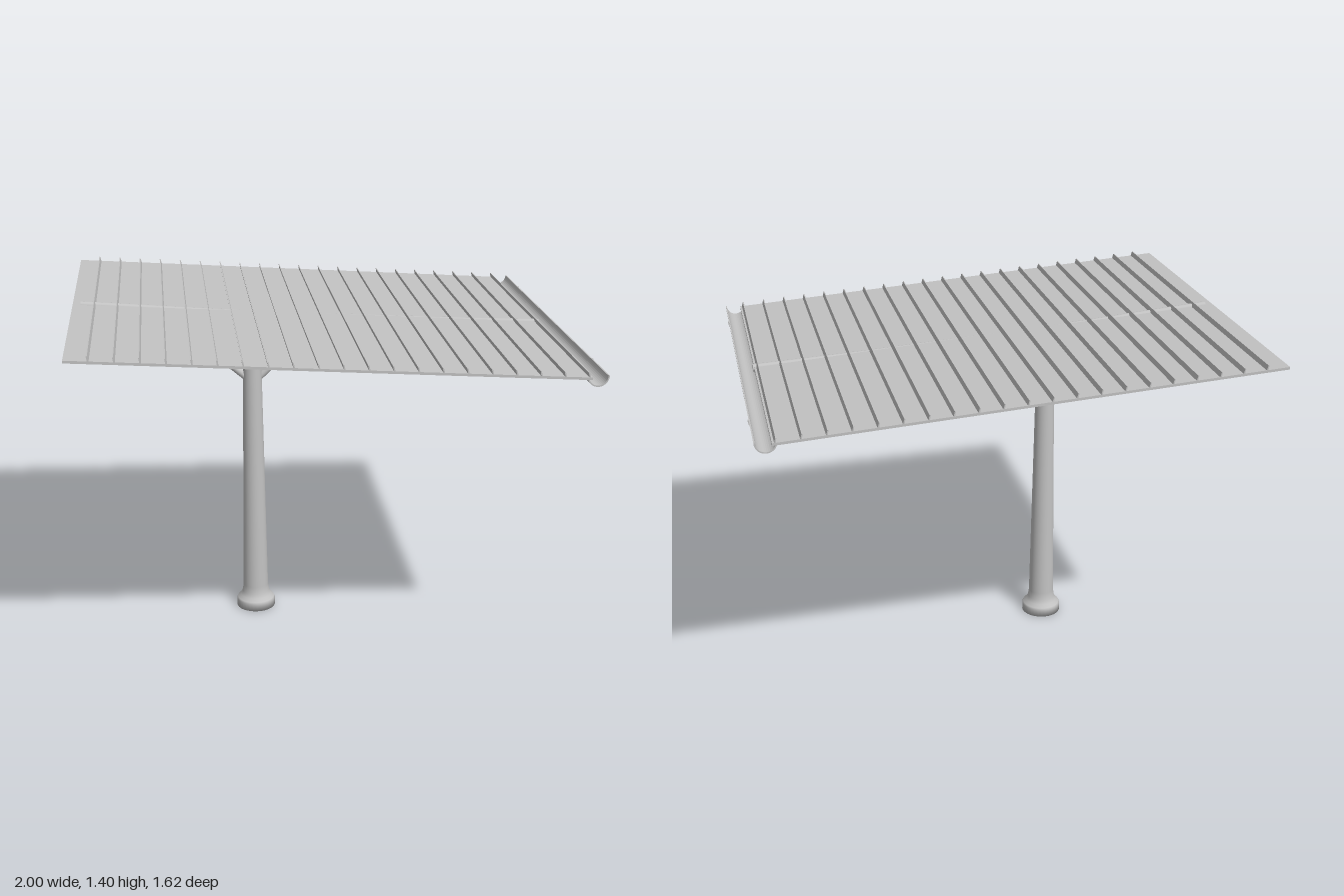
import * as THREE from 'three';

export function createModel() {
  const model = new THREE.Group();
  const steel = new THREE.MeshStandardMaterial({ color: 0xc2c2c2 });
  steel.name = 'galvanised grey';
  const sheet = new THREE.MeshStandardMaterial({ color: 0xc2c2c2, side: THREE.DoubleSide });
  sheet.name = 'sheet grey';

  const columnX = -0.277, depth = 1.62;
  const roofY = x => 1.385 - (x + 1) * 0.0674;

  function add(name, geometry, parent = model, material = steel) {
    const mesh = new THREE.Mesh(geometry, material);
    mesh.name = name;
    parent.add(mesh);
    return mesh;
  }

  // Straight round bars joined by ball elbows, in the plane z = 0
  function pipe(name, points, radius) {
    const group = new THREE.Group();
    group.name = name;
    model.add(group);
    const p = points.map(([x, y]) => new THREE.Vector3(x, y, 0));
    for (let i = 1; i < p.length; i++) {
      const dir = p[i].clone().sub(p[i - 1]);
      const bar = add(name + 'Bar', new THREE.CylinderGeometry(radius, radius, dir.length(), 16), group);
      bar.position.copy(p[i]).add(p[i - 1]).multiplyScalar(0.5);
      bar.quaternion.setFromUnitVectors(new THREE.Vector3(0, 1, 0), dir.normalize());
      if (i < p.length - 1) {
        add(name + 'Elbow', new THREE.SphereGeometry(radius, 16, 10), group).position.copy(p[i]);
      }
    }
  }

  // Extrude an x/y outline across the full depth
  function across(points, length = depth) {
    const shape = new THREE.Shape(points.map(([x, y]) => new THREE.Vector2(x, y)));
    return new THREE.ExtrudeGeometry(shape, { depth: length, bevelEnabled: false })
      .translate(0, 0, -length / 2);
  }

  // Tapered column with a flared foot
  const columnProfile = [
    [0, 0], [0.083, 0], [0.083, 0.032], [0.079, 0.04], [0.066, 0.052],
    [0.058, 0.07], [0.054, 0.1], [0.037, 1.2], [0.037, 1.3], [0, 1.3],
  ].map(([r, y]) => new THREE.Vector2(r, y));
  add('column', new THREE.LatheGeometry(columnProfile, 32)).position.x = columnX;

  // Bell-shaped capital
  const capitalProfile = [
    [0.036, 1.195], [0.046, 1.21], [0.06, 1.228], [0.067, 1.25],
    [0.069, 1.285], [0.075, 1.305], [0.075, 1.318], [0, 1.318],
  ].map(([r, y]) => new THREE.Vector2(r, y));
  add('capital', new THREE.LatheGeometry(capitalProfile, 32)).position.x = columnX;

  // Sloping main beam and the two branching arms
  pipe('beam', [[-0.97, 1.378], [-0.28, 1.319], [0.5, 1.269], [0.93, 1.247]], 0.017);
  pipe('rightArm', [[-0.97, 1.378], [-0.67, 1.25], [-0.475, 1.182], [-0.36, 1.1], [-0.285, 1.035]], 0.015);
  pipe('leftArm', [[-0.265, 1.035], [-0.2, 1.095], [-0.09, 1.175], [0.115, 1.245], [0.935, 1.248]], 0.015);

  // Thin struts from the arms up to the roof
  [
    [[-0.61, 1.3], [-0.545, 1.21]],
    [[-0.465, 1.322], [-0.38, 1.12]],
    [[-0.1, 1.308], [-0.18, 1.112]],
    [[0.05, 1.295], [-0.025, 1.2]],
    [[0.215, 1.287], [0.15, 1.25]],
  ].forEach(ends => pipe('strut', ends, 0.008));

  // Flat roof sheet
  const t = 0.01, roofEnd = 0.93;
  add('roofSheet', across([
    [-1, roofY(-1) - t], [roofEnd, roofY(roofEnd) - t], [roofEnd, roofY(roofEnd)], [-1, roofY(-1)],
  ]));

  // Standing seams, leaning slightly uphill
  for (let i = 0; i < 21; i++) {
    const x = -0.91 + i * 0.0915, y = roofY(x);
    add('roofSeam', across([
      [x - 0.003, y - 0.003], [x + 0.003, y - 0.003], [x - 0.003, y + 0.019], [x - 0.007, y + 0.019],
    ]));
  }

  // Half-round gutter along the low edge
  const gutterArc = (r, a0, a1) => Array.from({ length: 17 }, (_, i) => {
    const a = a0 + (a1 - a0) * i / 16;
    return [0.952 + r * Math.cos(a), 1.26 + r * Math.sin(a)];
  });
  const ring = (outer, inner) =>
    [...gutterArc(outer, Math.PI * 1.08, Math.PI * 2), ...gutterArc(inner, Math.PI * 2, Math.PI * 1.08)];
  add('gutter', across(ring(0.042, 0.037)), model, sheet);

  // Gutter brackets
  for (const z of [-0.585, 0.585]) {
    add('gutterBracket', across(ring(0.046, 0.041), 0.012)).position.z = z;
  }

  return model;
}
